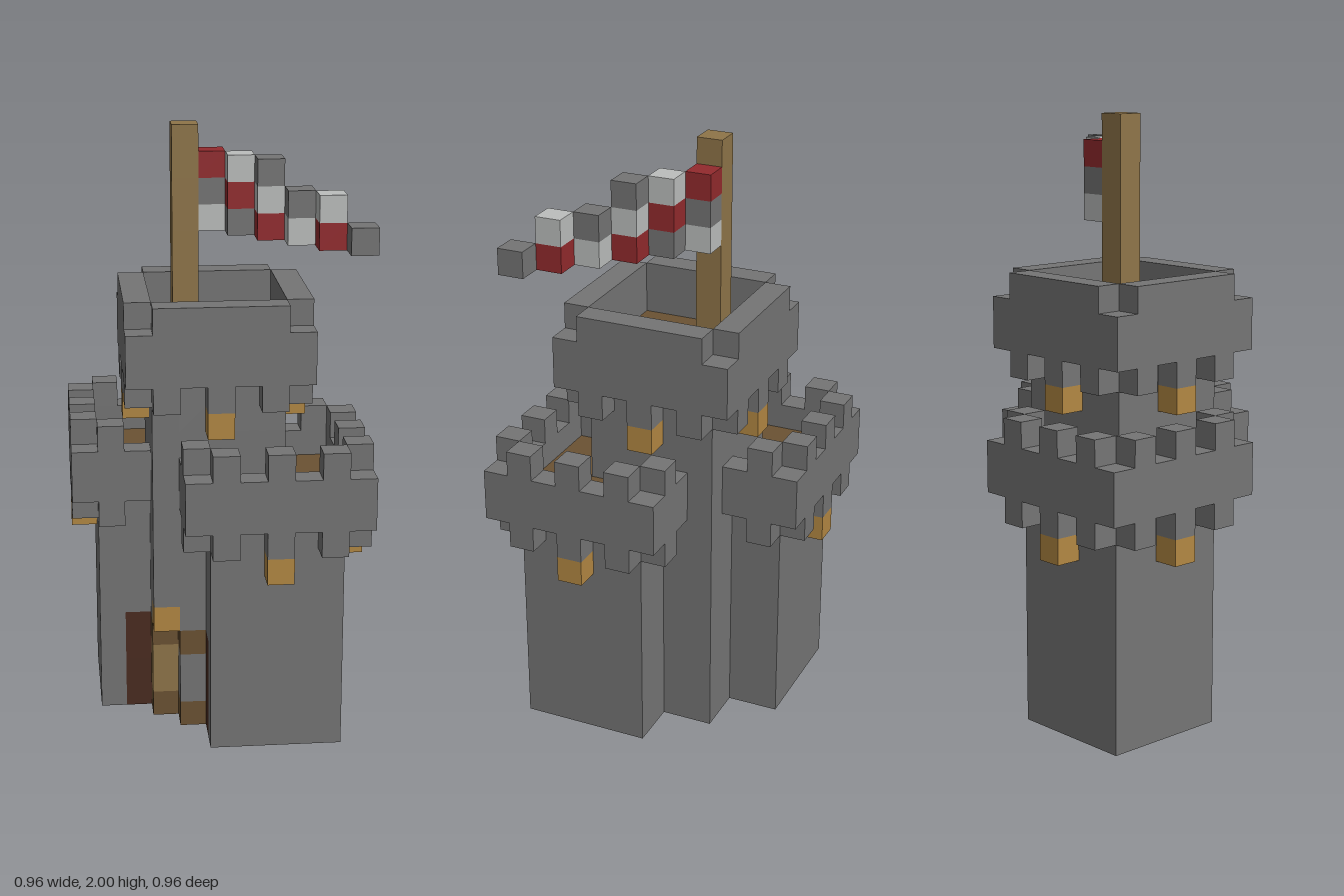
import * as THREE from 'three';
import { mergeGeometries } from 'three/addons/utils/BufferGeometryUtils.js';

const U = 2 / 23; // edge length of one block

const mat = (name, color) => {
  const m = new THREE.MeshStandardMaterial({ color });
  m.name = name;
  return m;
};

export function createModel() {
  const stone = mat('stone grey', 0x757575);
  const plank = mat('plank brown', 0x6b5233);
  const timber = mat('timber tan', 0x8f7549);
  const darkWood = mat('dark wood', 0x4a2b20);
  const lamp = mat('lamp amber', 0xb38843);
  const red = mat('flag red', 0x932a2d);
  const pale = mat('flag pale grey', 0xbcbebd);

  // Blocks: "x,y,z" -> part; later fills replace earlier ones
  const blocks = new Map();
  const key = (x, y, z) => `${x},${y},${z}`;
  const fill = (name, material, [x0, x1], [y0, y1], [z0, z1]) => {
    for (let x = x0; x <= x1; x++)
      for (let y = y0; y <= y1; y++)
        for (let z = z0; z <= z1; z++)
          blocks.set(key(x, y, z), { name, material, x, y, z });
  };
  const put = (name, material, x, y, z) => fill(name, material, [x, x], [y, y], [z, z]);

  // A square tower centred on (c, c) with an overhanging parapet
  const tower = (name, c, floorY, merlon) => {
    const wall = [c - 2, c + 2], ring = [c - 3, c + 3];
    const sides = (i, fn) => {
      fn(c + i, c - 3); fn(c + i, c + 3); fn(c - 3, c + i); fn(c + 3, c + i);
    };
    fill(name + 'Walls', stone, wall, [0, floorY - 1], wall);
    for (let i = -3; i <= 3; i++)
      sides(i, (x, z) => fill(name + 'Parapet', stone, [x, x], [floorY, floorY + 1], [z, z]));
    fill(name + 'Floor', plank, wall, [floorY, floorY], wall);
    for (const i of [-2, 0, 2])
      sides(i, (x, z) => put(name + 'Corbels', stone, x, floorY - 1, z));
    sides(0, (x, z) => put(name + 'Lamps', lamp, x, floorY - 2, z));
    for (const i of merlon)
      sides(i, (x, z) => put(name + 'Merlons', stone, x, floorY + 2, z));
    return ring;
  };
  tower('backTower', -2, 9, [-2, 0, 2]);
  tower('frontTower', 2, 9, [-2, 0, 2]);
  tower('mainTower', 0, 14, [-2, -1, 0, 1, 2]);

  // Plank ground floor inside the outer walls
  const inner = [];
  for (let x = -4; x <= 4; x++)
    for (let z = -4; z <= 4; z++)
      if ([[0, 0], [1, 0], [-1, 0], [0, 1], [0, -1]].every(([a, b]) => blocks.has(key(x + a, 0, z + b))))
        inner.push([x, z]);
  inner.forEach(([x, z]) => put('groundFloor', plank, x, 0, z));

  // Diagonal doorway set into the corner, with a lamp above
  for (let y = 0; y < 4; y++) {
    blocks.delete(key(-2, y, 2));
    const mid = y === 1 || y === 2;
    put('doorPosts', darkWood, -3, y, 0);
    put('doorPosts', darkWood, 0, y, 3);
    put(mid ? 'doorPanel' : 'doorBoards', mid ? timber : plank, -2, y, 1);
    put(mid ? 'doorPlate' : 'doorBoards', mid ? stone : plank, -1, y, 2);
  }
  put('doorLamp', lamp, -2, 4, 2);

  // Flagpole and chequered flag running diagonally forward
  fill('flagpole', timber, [-1, -1], [15, 22], [-1, -1]);
  const cloth = { r: ['flagRed', red], p: ['flagPale', pale], g: ['flagGrey', stone] };
  ['pgrprg', 'grpgp', 'rpg'].forEach((row, j) =>
    [...row].forEach((c, i) => put(...cloth[c], i, 19 + j, i - 1)));

  // One quad for each of the six block directions
  const faces = [
    [0, 0, 1, 0, 0], [0, 0, -1, 0, Math.PI],
    [1, 0, 0, 0, Math.PI / 2], [-1, 0, 0, 0, -Math.PI / 2],
    [0, 1, 0, -Math.PI / 2, 0], [0, -1, 0, Math.PI / 2, 0],
  ].map(([x, y, z, rx, ry]) => ({
    x, y, z,
    quad: new THREE.PlaneGeometry(U, U).rotateX(rx).rotateY(ry).translate(x * U / 2, y * U / 2, z * U / 2),
  }));

  // Collect the exposed faces of each part
  const parts = new Map();
  for (const b of blocks.values())
    for (const f of faces) {
      if (blocks.has(key(b.x + f.x, b.y + f.y, b.z + f.z))) continue;
      if (!parts.has(b.name)) parts.set(b.name, { material: b.material, quads: [] });
      parts.get(b.name).quads.push(f.quad.clone().translate(b.x * U, (b.y + 0.5) * U, b.z * U));
    }

  const group = new THREE.Group();
  group.name = 'watchtower';
  for (const [name, { material, quads }] of parts) {
    const mesh = new THREE.Mesh(mergeGeometries(quads), material);
    mesh.name = name;
    group.add(mesh);
  }
  return group;
}
